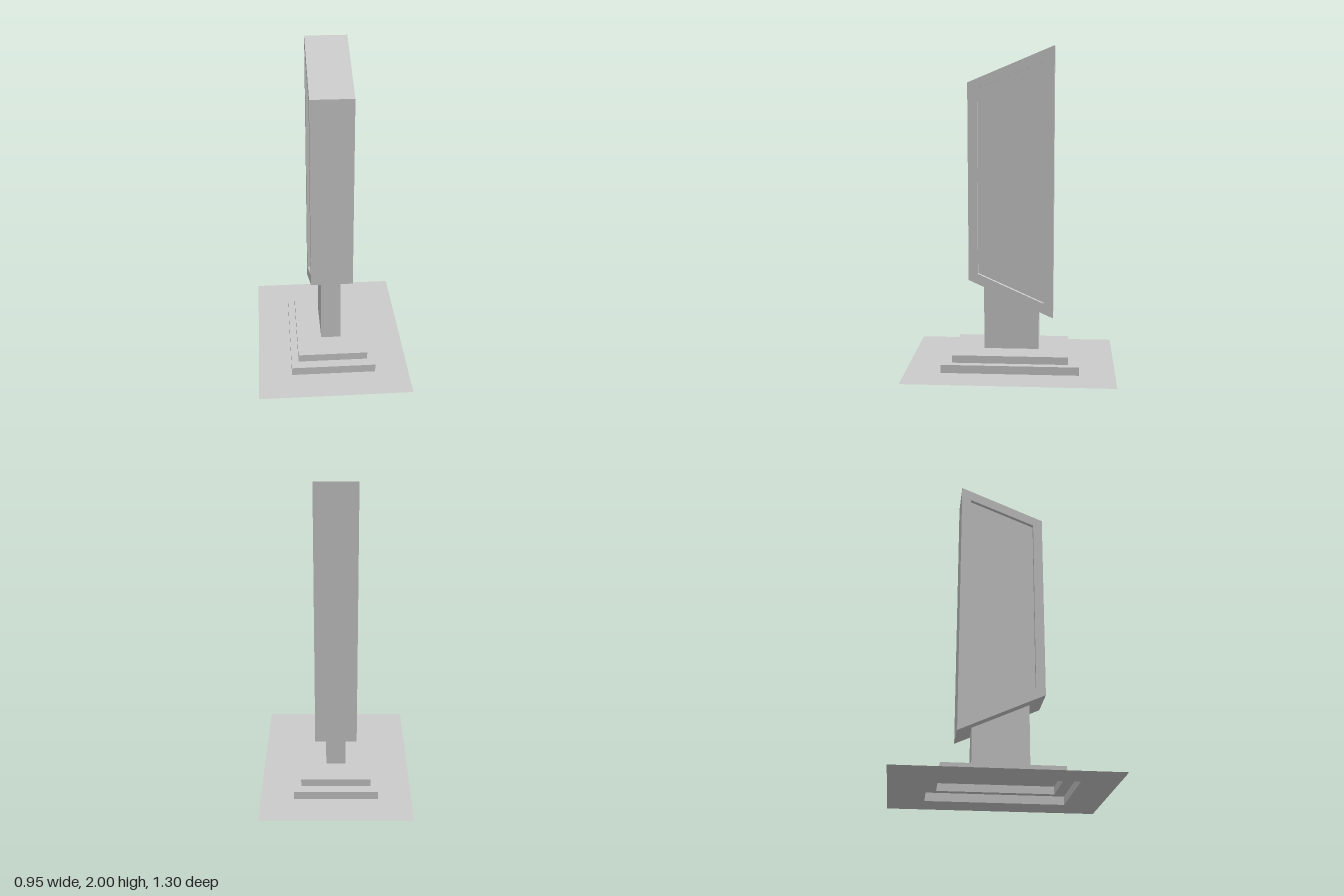
import * as THREE from 'three';

// Skin a list of four-cornered rings (counter-clockwise about the loft axis).
function loft(rings, { capStart = false, capEnd = false } = {}) {
  const positions = [];
  const quad = (a, b, c, d) => positions.push(...a, ...b, ...c, ...a, ...c, ...d);
  for (let r = 0; r < rings.length - 1; r++) {
    const lower = rings[r], upper = rings[r + 1];
    for (let i = 0; i < 4; i++) {
      const j = (i + 1) % 4;
      quad(lower[i], lower[j], upper[j], upper[i]);
    }
  }
  if (capStart) quad(...[...rings[0]].reverse());
  if (capEnd) quad(...rings[rings.length - 1]);
  const geometry = new THREE.BufferGeometry();
  geometry.setAttribute('position', new THREE.Float32BufferAttribute(positions, 3));
  geometry.computeVertexNormals();
  return geometry;
}

// Horizontal rectangle; the front and back edges may sit at different heights.
const level = (x, z, yFront, yBack = yFront) => [
  [x, yFront, z], [x, yBack, -z], [-x, yBack, -z], [-x, yFront, z],
];

// Upright slanted outline at a given x.
const outline = (x, z, bottomFront, bottomBack, topBack, topFront) => [
  [x, bottomFront, z], [x, bottomBack, -z], [x, topBack, -z], [x, topFront, z],
];

export function createModel() {
  const model = new THREE.Group();
  model.name = 'signStand';

  const add = (name, geometry, side = THREE.FrontSide) => {
    const material = new THREE.MeshStandardMaterial({ color: 0xcccccc, flatShading: true, side });
    const mesh = new THREE.Mesh(geometry, material);
    mesh.name = name;
    model.add(mesh);
  };

  // Thin ground sheet, open beneath the steps
  add('groundSheet', loft([
    level(0.475, 0.65, 0),
    level(0.265, 0.427, 0),
  ]), THREE.DoubleSide);

  // Two hollow steps
  add('steppedBase', loft([
    level(0.265, 0.427, 0),
    level(0.265, 0.427, 0.052),
    level(0.22, 0.36, 0.052),
    level(0.22, 0.36, 0.1),
    level(0.063, 0.173, 0.1),
  ]), THREE.DoubleSide);

  // Hollow post, cut to the slope of the sign's underside
  add('post', loft([
    level(0.063, 0.173, 0.1),
    level(0.063, 0.173, 0.518, 0.362),
  ]), THREE.DoubleSide);

  // Slanted sign body with a recessed panel on each side
  const halfWidth = 0.131, recess = 0.025;
  const outer = x => outline(x, 0.263, 0.56, 0.322, 2, 1.78);
  const inner = x => outline(x, 0.205, 0.6, 0.415, 1.91, 1.742);
  add('signBody', loft([
    inner(-halfWidth + recess),
    inner(-halfWidth),
    outer(-halfWidth),
    outer(halfWidth),
    inner(halfWidth),
    inner(halfWidth - recess),
  ], { capStart: true, capEnd: true }));

  return model;
}
